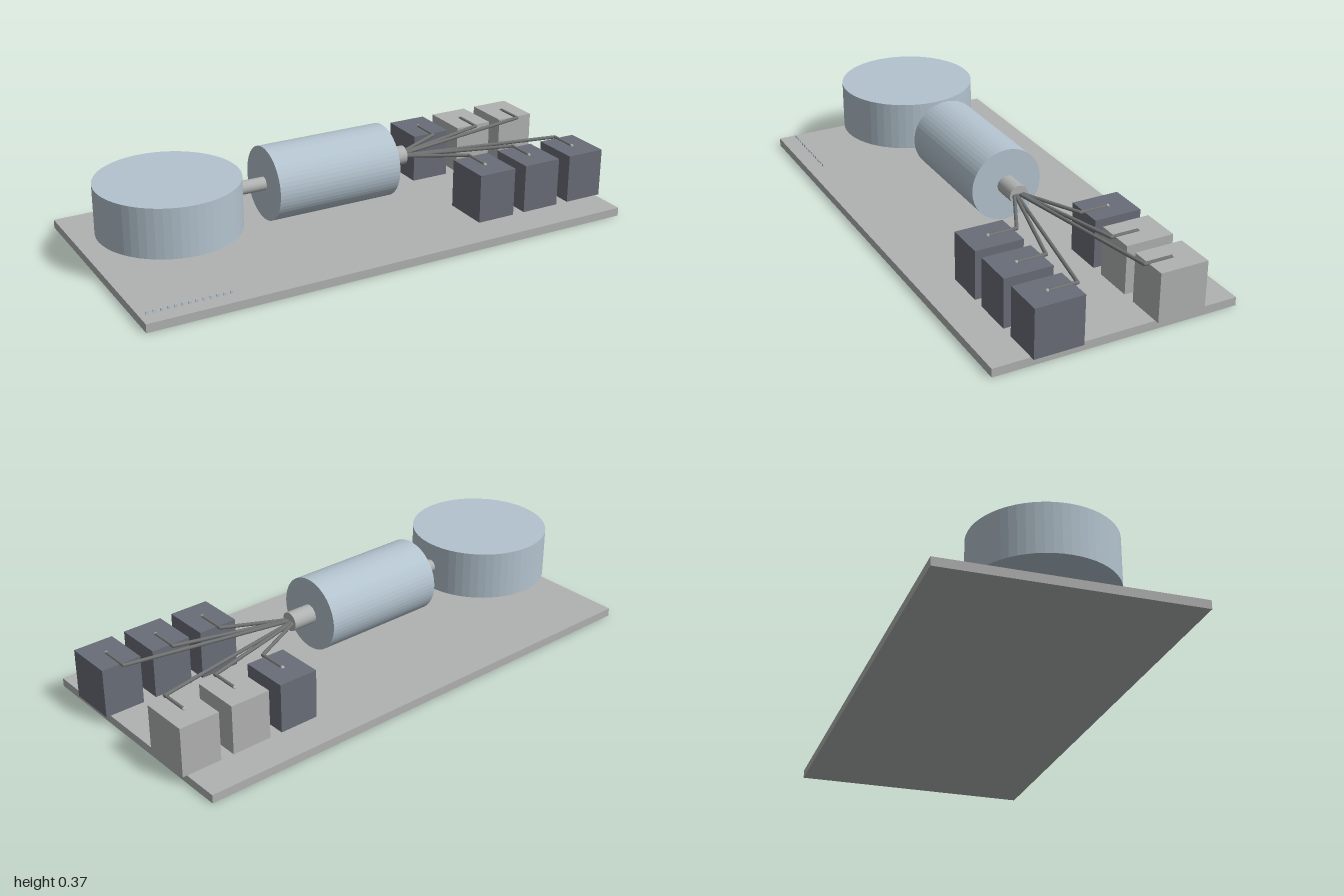
import * as THREE from 'three';

const material = (name, color) => {
  const m = new THREE.MeshStandardMaterial({ color });
  m.name = name;
  return m;
};

export function createModel() {
  const model = new THREE.Group();
  model.name = 'benchAssembly';
  const paleBlue = material('paleBlueSteel', 0xb3c3ce);
  const grey = material('lightGrey', 0xb0b1b1);
  const dark = material('darkSlate', 0x696d78);
  const wireGrey = material('wireGrey', 0x707272);

  const add = (name, geometry, mat, x, y, z) => {
    const mesh = new THREE.Mesh(geometry, mat);
    mesh.name = name;
    mesh.position.set(x, y, z);
    model.add(mesh);
    return mesh;
  };
  // Finely faceted cylinder
  const drum = (radius, length, sides = 56) => {
    const g = new THREE.CylinderGeometry(radius, radius, length, sides).toNonIndexed();
    g.computeVertexNormals();
    return g;
  };
  // Cylinder lying along x between two positions
  const axle = (name, x0, x1, radius, mat) =>
    add(name, drum(radius, x1 - x0).rotateZ(Math.PI / 2), mat, (x0 + x1) / 2, axisY, 0);

  const axisY = 0.226, floor = 0.033;

  // Base plate
  add('basePlate', new THREE.BoxGeometry(1.98, floor, 0.96), grey, -0.01, floor / 2, 0);

  // Round tank on its post
  add('tankPost', drum(0.032, 0.1, 32), grey, -0.713, 0.083, 0);
  add('tank', drum(0.27, 0.192), paleBlue, -0.713, 0.226, 0);

  // Horizontal drum with its two stub pipes
  axle('inletPipe', -0.46, -0.33, 0.026, grey);
  axle('mainDrum', -0.33, 0.18, 0.143, paleBlue);
  axle('outletPipe', 0.18, 0.277, 0.037, grey);

  // Two rows of boxes, each fed by a bent wire from the outlet
  [0.5, 0.708, 0.918].forEach((x, i) => {
    for (const side of [1, -1]) {
      const boxMaterial = side < 0 && i > 0 ? grey : dark;
      add('box', new THREE.BoxGeometry(0.158, 0.193, 0.19), boxMaterial, x, floor + 0.0965, side * 0.24);

      const points = [
        new THREE.Vector3(0.272, axisY, side * (0.016 - i * 0.005)),
        new THREE.Vector3(x, axisY, side * 0.13),
        new THREE.Vector3(x, axisY, side * 0.244),
      ];
      for (let k = 0; k < 2; k++) {
        const line = new THREE.LineCurve3(points[k], points[k + 1]);
        add('wire', new THREE.TubeGeometry(line, 1, 0.007, 10), wireGrey, 0, 0, 0);
      }
      add('wireElbow', new THREE.SphereGeometry(0.007, 10, 8), wireGrey, ...points[1].toArray());
      add('wireTip', new THREE.SphereGeometry(0.0075, 10, 8), grey, ...points[2].toArray());
    }
  });

  // Row of tiny pins at the front corner
  for (let i = 0; i < 13; i++)
    add('pin', new THREE.BoxGeometry(0.009, 0.012, 0.004), paleBlue, -0.97 + i * 0.026, floor + 0.006, 0.415);

  return model;
}
